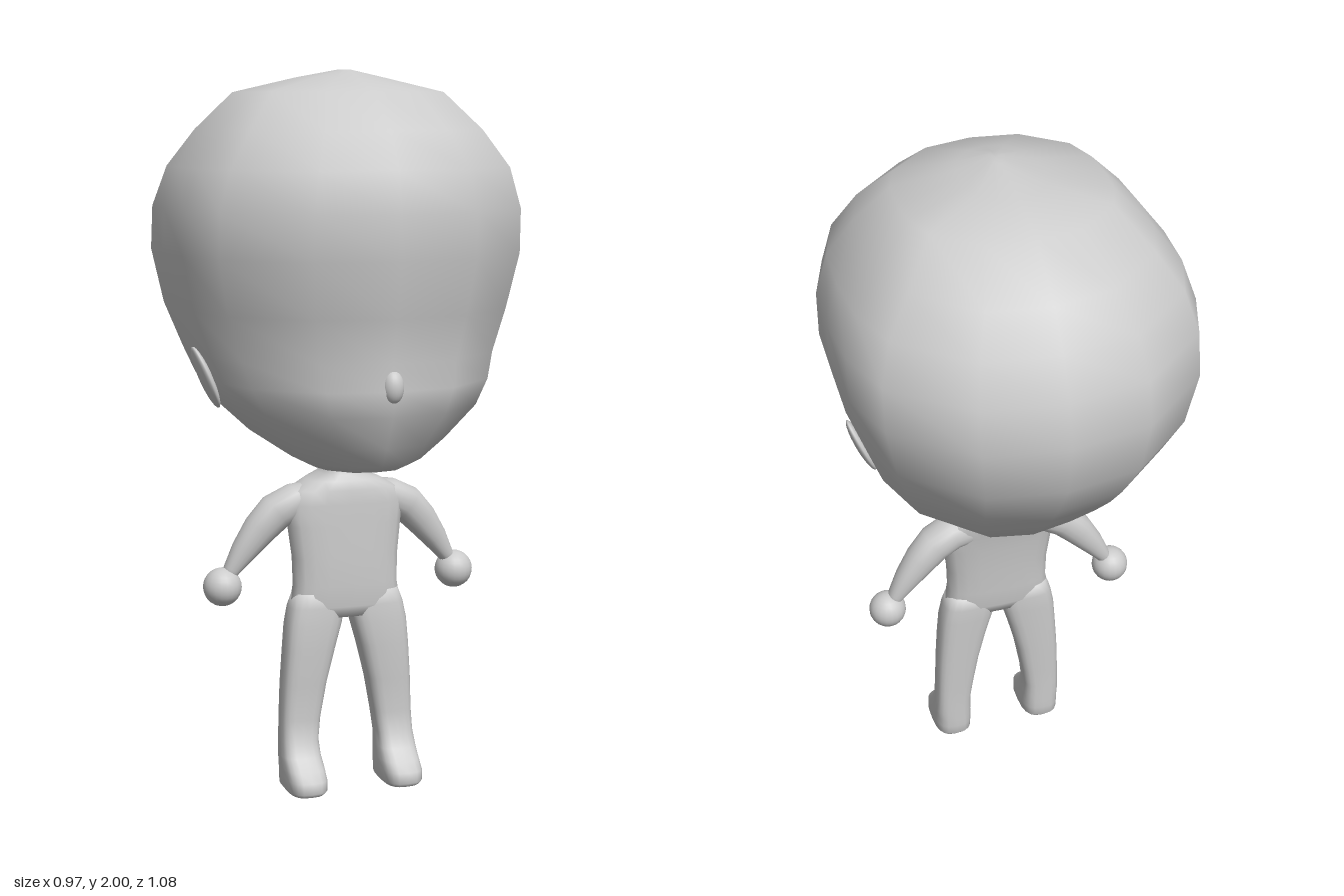
import * as THREE from 'three';

const material = new THREE.MeshStandardMaterial({ color: 0xcccccc });

// Quarter outline of the head's faceted cross-section, as [side, front] factors
const HEAD_QUARTER = [[0, 1], [0.46, 0.93], [0.87, 0.61], [0.98, 0.31]];
const headOutline = [];
for (let q = 0; q < 4; q++) {
  for (const [s, c] of HEAD_QUARTER) {
    headOutline.push([[s, c], [c, -s], [-s, -c], [-c, s]][q]);
  }
}
// The turned quarters need the list reversed where side and front swap
for (const q of [1, 3]) {
  for (let i = 1; i < 4; i++) {
    const [s, c] = HEAD_QUARTER[4 - i];
    headOutline[q * 4 + i] = q === 1 ? [s, -c] : [-s, c];
  }
}

// Rounded-square outline; a lower power is squarer
function softOutline(power, count = 20) {
  const bend = (v) => Math.sign(v) * Math.abs(v) ** power;
  return Array.from({ length: count }, (_, i) => {
    const t = (i / count) * Math.PI * 2;
    return [bend(Math.sin(t)), bend(Math.cos(t))];
  });
}

// Skin over rings { c: centre, u: side vector, v: front vector }, closed at both ends
function loft(name, rings, outline) {
  const n = outline.length, pos = [], index = [];
  for (const { c, u, v } of rings) {
    for (const [s, k] of outline) {
      pos.push(...c.clone().addScaledVector(u, s).addScaledVector(v, k).toArray());
    }
  }
  const last = rings.length - 1, bottom = rings.length * n, top = bottom + 1;
  pos.push(...rings[0].c.toArray(), ...rings[last].c.toArray());
  for (let j = 0; j < n; j++) {
    const k = (j + 1) % n;
    for (let i = 0; i < last; i++) {
      const a = i * n + j, b = i * n + k;
      index.push(a, b, a + n, b, b + n, a + n);
    }
    index.push(bottom, k, j, top, last * n + j, last * n + k);
  }
  const geometry = new THREE.BufferGeometry();
  geometry.setAttribute('position', new THREE.Float32BufferAttribute(pos, 3));
  geometry.setIndex(index);
  geometry.computeVertexNormals();
  const mesh = new THREE.Mesh(geometry, material);
  mesh.name = name;
  return mesh;
}

// Level rings from rows of [y, centre x, half width, front z, back z]
const levels = (rows) => rows.map(([y, x, w, f, b]) => ({
  c: new THREE.Vector3(x, y, (f + b) / 2),
  u: new THREE.Vector3(w, 0, 0),
  v: new THREE.Vector3(0, 0, (f - b) / 2),
}));

function ellipsoid(name, x, y, z, rx, ry, rz) {
  const mesh = new THREE.Mesh(new THREE.SphereGeometry(1, 20, 14), material);
  mesh.name = name;
  mesh.position.set(x, y, z);
  mesh.scale.set(rx, ry, rz);
  return mesh;
}

export function createModel() {
  const model = new THREE.Group();
  model.name = 'figure';

  // Big faceted head with a full back and a narrow jaw
  model.add(loft('head', levels([
    [0.935, 0, 0.13, 0.36, 0.0],
    [0.955, 0, 0.17, 0.405, -0.1],
    [1.01, 0, 0.25, 0.44, -0.235],
    [1.1, 0, 0.345, 0.485, -0.32],
    [1.17, 0, 0.385, 0.5, -0.385],
    [1.24, 0, 0.41, 0.487, -0.44],
    [1.36, 0, 0.453, 0.51, -0.515],
    [1.51, 0, 0.487, 0.542, -0.54],
    [1.63, 0, 0.486, 0.543, -0.515],
    [1.74, 0, 0.45, 0.525, -0.465],
    [1.84, 0, 0.375, 0.462, -0.39],
    [1.94, 0, 0.28, 0.33, -0.24],
    [1.98, 0, 0.11, 0.2, -0.1],
    [2.0, 0, 0.015, 0.13, 0.06],
  ]), headOutline));
  model.add(ellipsoid('nose', 0, 1.18, 0.48, 0.03, 0.045, 0.03));

  // Torso, shoulders and neck
  model.add(loft('torso', levels([
    [0.49, 0, 0.15, 0.16, 0.065],
    [0.52, 0, 0.163, 0.167, 0.055],
    [0.58, 0, 0.152, 0.17, 0.05],
    [0.66, 0, 0.154, 0.17, 0.045],
    [0.75, 0, 0.165, 0.167, 0.035],
    [0.81, 0, 0.172, 0.166, 0.025],
    [0.85, 0, 0.155, 0.163, 0.015],
    [0.875, 0, 0.105, 0.155, 0.005],
    [0.89, 0, 0.062, 0.142, 0.0],
    [0.92, 0, 0.042, 0.132, -0.003],
    [0.98, 0, 0.036, 0.125, -0.005],
  ]), softOutline(0.75)));

  for (const side of [1, -1]) {
    const label = side > 0 ? 'left' : 'right';

    // Leg and foot, from the sole up to the hip
    model.add(loft(label + 'Leg', levels([
      [0.003, 0.142, 0.048, 0.24, 0.08],
      [0.015, 0.142, 0.057, 0.252, 0.07],
      [0.045, 0.142, 0.058, 0.25, 0.068],
      [0.07, 0.142, 0.057, 0.225, 0.068],
      [0.1, 0.143, 0.056, 0.19, 0.068],
      [0.14, 0.142, 0.054, 0.168, 0.068],
      [0.2, 0.137, 0.057, 0.158, 0.067],
      [0.3, 0.126, 0.064, 0.163, 0.063],
      [0.4, 0.11, 0.073, 0.168, 0.06],
      [0.47, 0.097, 0.08, 0.168, 0.057],
      [0.52, 0.087, 0.08, 0.165, 0.056],
      [0.56, 0.08, 0.072, 0.16, 0.06],
    ].map(([y, x, ...rest]) => [y, side * x, ...rest])), softOutline(0.65)));

    // Sloping arm: [x, y, z, half thickness, half depth]
    const rows = [
      [0.08, 0.825, 0.085, 0.045, 0.055],
      [0.14, 0.815, 0.085, 0.05, 0.057],
      [0.195, 0.787, 0.08, 0.052, 0.053],
      [0.24, 0.74, 0.076, 0.047, 0.046],
      [0.285, 0.682, 0.073, 0.036, 0.037],
      [0.32, 0.63, 0.07, 0.023, 0.027],
      [0.335, 0.6, 0.07, 0.018, 0.02],
    ];
    const path = rows.map(([x, y, z]) => new THREE.Vector3(side * x, y, z));
    const front = new THREE.Vector3(0, 0, 1);
    model.add(loft(label + 'Arm', rows.map((row, i) => {
      const ahead = path[Math.min(i + 1, path.length - 1)];
      const along = ahead.clone().sub(path[Math.max(i - 1, 0)]).setZ(0).normalize();
      return {
        c: path[i],
        u: along.cross(front).multiplyScalar(row[3]),
        v: front.clone().multiplyScalar(row[4]),
      };
    }), softOutline(0.9)));

    // Ball hand
    model.add(ellipsoid(label + 'Hand', side * 0.347, 0.583, 0.07, 0.054, 0.054, 0.054));

    // Small flap ear, leaning outward at the top
    const ear = ellipsoid(label + 'Ear', side * 0.395, 1.175, 0.09, 0.016, 0.092, 0.05);
    ear.rotation.z = -side * 0.4;
    model.add(ear);
  }
  return model;
}
